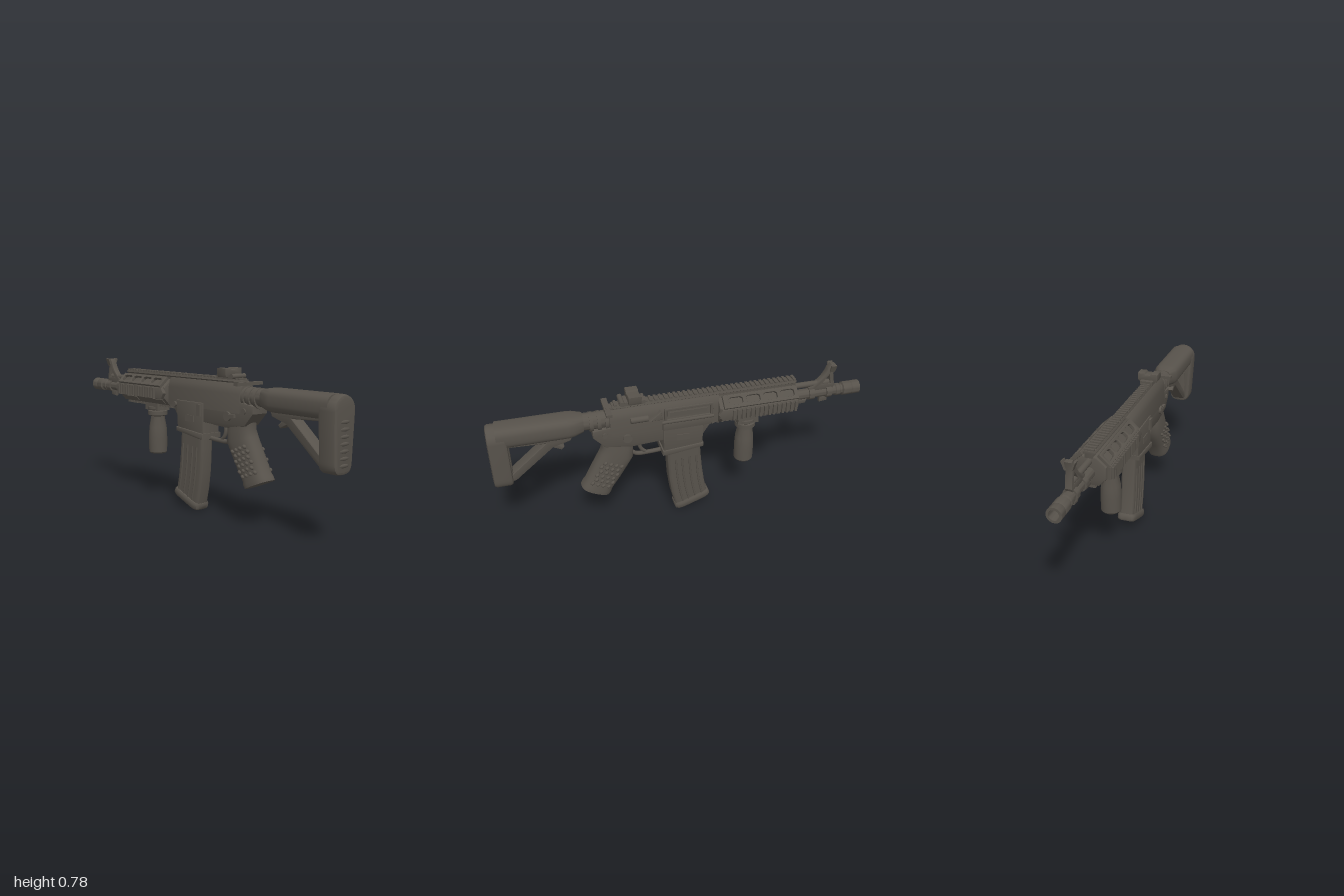
import * as THREE from 'three';
import { toCreasedNormals } from 'three/addons/utils/BufferGeometryUtils.js';

export function createModel() {
  const model = new THREE.Group();
  const gunmetal = new THREE.MeshStandardMaterial({ color: 0x57524b });
  gunmetal.name = 'gunmetal';

  const add = (name, geo, x = 0, y = 0, z = 0) => {
    const mesh = new THREE.Mesh(geo, gunmetal);
    mesh.name = name;
    mesh.position.set(x, y, z);
    model.add(mesh);
    return mesh;
  };
  const box = (name, w, h, d, x, y, z) => add(name, new THREE.BoxGeometry(w, h, d), x, y, z);
  const outline = pts => new THREE.Shape(pts.map(p => new THREE.Vector2(...p)));
  const toShape = pts => Array.isArray(pts) ? outline(pts) : pts;
  const extrude = (shape, depth, b) => toCreasedNormals(new THREE.ExtrudeGeometry(shape, {
    depth: depth - 2 * b, bevelEnabled: b > 0, bevelSize: b, bevelThickness: b,
    bevelOffset: -b, bevelSegments: 2, curveSegments: 10,
  }).translate(0, 0, b - depth / 2), 0.6);
  // side profile of (z, y) points, given a width across x
  const slab = (name, pts, width, b = 0.006, x = 0, holes = []) => {
    const s = toShape(pts);
    holes.forEach(h => s.holes.push(outline(h)));
    return add(name, extrude(s, width, b).rotateY(-Math.PI / 2), x);
  };
  // end profile of (x, y) points, run from z0 to z1
  const beam = (name, pts, z0, z1, b = 0.006) =>
    add(name, extrude(toShape(pts), z1 - z0, b), 0, 0, (z0 + z1) / 2);
  // mirrors the +x half of an end profile
  const mirrored = half => [...half, ...half.map(([x, y]) => [-x, y]).reverse()];
  // sections [z, y, half width, half depth, tilt in degrees], rounded boxes joined in order
  const loft = (name, sections, power = 4, n = 32) => {
    const pos = [], idx = [];
    const soft = v => Math.sign(v) * Math.abs(v) ** (2 / power);
    for (const [z, y, hx, hd, deg] of sections) {
      const t = deg * Math.PI / 180;
      for (let j = 0; j < n; j++) {
        const a = j / n * 2 * Math.PI, v = soft(Math.sin(a)) * hd;
        pos.push(soft(Math.cos(a)) * hx, y + v * Math.sin(t), z + v * Math.cos(t));
      }
    }
    const last = (sections.length - 1) * n, c = sections.length * n;
    [sections[0], sections.at(-1)].forEach(([z, y]) => pos.push(0, y, z));
    for (let j = 0; j < n; j++) {
      const k = (j + 1) % n;
      for (let i = 0; i < last; i += n) idx.push(i + j, i + k, i + n + k, i + j, i + n + k, i + n + j);
      idx.push(c, k, j, c + 1, last + j, last + k);
    }
    const g = new THREE.BufferGeometry();
    g.setAttribute('position', new THREE.Float32BufferAttribute(pos, 3));
    g.setIndex(idx);
    return add(name, toCreasedNormals(g.toNonIndexed(), 0.7));
  };
  const lathe = pts => toCreasedNormals(
    new THREE.LatheGeometry(pts.map(p => new THREE.Vector2(...p)), 28).toNonIndexed(), 0.6);
  const tube = (name, pts, r, x = 0) => add(name, new THREE.TubeGeometry(
    new THREE.CatmullRomCurve3(pts.map(([z, y]) => new THREE.Vector3(x, y, z))), 20, r, 8));
  const pin = (name, r, len, x, y, z) =>
    add(name, new THREE.CylinderGeometry(r, r, len, 18).rotateZ(Math.PI / 2), x, y, z);

  // Shoulder stock: body, butt, pad ridges and triangular brace
  loft('stockBody', [[0.52, 0.655, 0.045, 0.046, 90], [0.57, 0.653, 0.066, 0.056, 90],
    [0.60, 0.652, 0.07, 0.058, 90], [0.95, 0.652, 0.07, 0.058, 90]], 3);
  const butt = new THREE.Shape();
  butt.moveTo(0.072, 0.63);
  butt.absarc(0, 0.638, 0.072, 0, Math.PI);
  butt.lineTo(-0.062, 0.42);
  butt.bezierCurveTo(-0.062, 0.37, -0.045, 0.357, 0, 0.357);
  butt.bezierCurveTo(0.045, 0.357, 0.062, 0.37, 0.062, 0.42);
  beam('butt', butt, 0.9, 0.996, 0.014);
  for (let i = 0; i < 7; i++) {
    const ridge = add('padRidge', new THREE.SphereGeometry(1, 16, 8), 0, 0.4 + i * 0.032, 0.988);
    ridge.scale.set(0.042, 0.012, 0.012);
  }
  slab('stockBrace', [[0.93, 0.37], [0.88, 0.385], [0.68, 0.55], [0.59, 0.575], [0.57, 0.62], [0.93, 0.62]],
    0.07, 0.008, 0, [[[0.895, 0.43], [0.895, 0.585], [0.72, 0.578]]]);
  slab('stockLever', [[0.69, 0.575], [0.68, 0.545], [0.64, 0.525], [0.625, 0.54], [0.65, 0.56], [0.60, 0.6]], 0.06);

  // Stock tube and its rings
  add('stockTube', lathe([[0, 0], [0.045, 0], [0.045, 0.18], [0, 0.18]]).rotateX(-Math.PI / 2), 0, 0.655, 0.57);
  [0.41, 0.45, 0.49].forEach(z => add('tubeRing',
    lathe([[0, 0], [0.052, 0], [0.052, 0.018], [0, 0.018]]).rotateX(-Math.PI / 2), 0, 0.65, z));

  // Receiver
  beam('upperReceiver', mirrored([[0.052, 0.57], [0.052, 0.665], [0.044, 0.695], [0.028, 0.715]]), -0.19, 0.39);
  slab('lowerReceiver', [[0.48, 0.615], [0.48, 0.575], [0.42, 0.51], [0.28, 0.49], [0.10, 0.5],
    [-0.1, 0.5], [-0.14, 0.56], [-0.14, 0.6], [0.36, 0.63]], 0.1);
  slab('magazineWell', [[0.115, 0.6], [0.115, 0.42], [-0.095, 0.44], [-0.105, 0.6]], 0.116);
  slab('magazineWellLip', [[0.122, 0.438], [0.122, 0.408], [0.09, 0.408], [-0.1, 0.432], [-0.1, 0.456]], 0.13);
  box('wellPanel', 0.124, 0.035, 0.07, 0, 0.51, 0.01);
  box('chargingHandle', 0.17, 0.016, 0.03, 0, 0.716, 0.395);
  box('chargingHandleStem', 0.05, 0.018, 0.1, 0, 0.716, 0.35);

  // Right side: port, cover, forward assist; left side: catch and selector
  slab('portFrame', [[0.11, 0.615], [0.11, 0.695], [-0.15, 0.695], [-0.15, 0.615]], 0.016, 0.004, 0.054,
    [[[0.095, 0.63], [0.095, 0.68], [-0.135, 0.68], [-0.135, 0.63]]]);
  box('bolt', 0.012, 0.026, 0.2, 0.05, 0.655, -0.02);
  slab('portCover', [[0.12, 0.57], [0.12, 0.618], [-0.14, 0.618], [-0.14, 0.57]], 0.02, 0.005, 0.06);
  tube('coverHinge', [[0.125, 0.62], [-0.15, 0.62]], 0.009, 0.066);
  slab('deflector', [[0.19, 0.64], [0.13, 0.69], [0.12, 0.64]], 0.03, 0.005, 0.055);
  add('forwardAssist', new THREE.CylinderGeometry(0.017, 0.017, 0.09, 14).rotateX(Math.PI / 2), 0.055, 0.655, 0.24);
  box('boltCatch', 0.02, 0.06, 0.03, -0.058, 0.56, 0.09);
  box('selector', 0.014, 0.016, 0.06, -0.058, 0.555, 0.33);
  pin('receiverPin', 0.024, 0.124, 0, 0.55, 0.305);
  pin('rearPin', 0.014, 0.114, 0, 0.585, 0.42);
  pin('frontPin', 0.014, 0.124, 0, 0.575, -0.12);

  // Trigger and guard
  tube('triggerGuard', [[0.275, 0.425], [0.25, 0.41], [0.18, 0.408], [0.11, 0.412]], 0.012);
  tube('trigger', [[0.225, 0.5], [0.235, 0.47], [0.225, 0.435], [0.205, 0.415]], 0.01);

  // Pistol grip with pebbled sides
  loft('pistolGrip', [[0.355, 0.54, 0.046, 0.085, 4], [0.352, 0.48, 0.05, 0.083, 10], [0.36, 0.435, 0.056, 0.09, 16],
    [0.395, 0.375, 0.055, 0.087, 20], [0.425, 0.325, 0.057, 0.084, 23], [0.465, 0.26, 0.057, 0.078, 24],
    [0.475, 0.243, 0.061, 0.082, 24], [0.485, 0.226, 0.06, 0.081, 24]], 2.7);
  for (const s of [-1, 1]) for (let r = 0; r < 6; r++) for (let c = 0; c < 4; c++) {
    const u = -0.045 + c * 0.03 + (r % 2) * 0.01;
    const bump = add('gripPebble', new THREE.SphereGeometry(1, 8, 6),
      s * (0.055 - Math.abs(u) * 0.06), 0.395 - r * 0.024 + u * 0.4, 0.385 + r * 0.0135 + u * 0.92);
    bump.scale.set(0.011, 0.009, 0.013);
    bump.rotation.x = 0.5;
  }

  // Curved magazine with ribs and floor plate
  const curve = [[0, 0.46, 0.04, 0.09, 0], [-0.003, 0.36, 0.04, 0.093, -5], [-0.011, 0.25, 0.04, 0.096, -9],
    [-0.025, 0.15, 0.04, 0.097, -14], [-0.043, 0.07, 0.04, 0.097, -20]];
  loft('magazine', curve, 7);
  for (const x of [-0.039, 0.039]) for (const o of [-0.065, -0.025, 0.015, 0.05])
    tube('magazineRib', curve.slice(1).map(([z, y, , , t]) => {
      const a = t * Math.PI / 180;
      return [z + o * Math.cos(a), y + o * Math.sin(a)];
    }), 0.006, x);
  loft('floorPlate', [[-0.041, 0.078, 0.048, 0.1, -20], [-0.044, 0.07, 0.053, 0.105, -20],
    [-0.051, 0.05, 0.053, 0.106, -20], [-0.054, 0.042, 0.048, 0.1, -20]], 5);

  // Handguard: core, windowed upper panels, ribbed side rails
  beam('handguardCore', mirrored([[0.045, 0.56], [0.082, 0.6], [0.082, 0.66], [0.035, 0.703]]), -0.62, -0.18);
  const slot = (a, b) => [[a, -0.012], [a + 0.012, -0.02], [b - 0.012, -0.02], [b, -0.012],
    [b, 0.012], [b - 0.012, 0.02], [a + 0.012, 0.02], [a, 0.012]];
  for (const s of [-1, 1]) {
    const panel = outline([[-0.61, -0.036], [-0.2, -0.036], [-0.2, 0.036], [-0.61, 0.036]]);
    [-0.59, -0.495, -0.4, -0.305].forEach(a => panel.holes.push(outline(slot(a, a + 0.075))));
    const mesh = add('upperPanel', extrude(panel, 0.018, 0.003).rotateY(-Math.PI / 2), s * 0.067, 0.687, 0);
    mesh.rotation.z = s * 0.83;
    slab('sideRail', [[-0.605, 0.595], [-0.605, 0.66], [-0.19, 0.66], [-0.17, 0.63], [-0.19, 0.595]],
      0.024, 0.005, s * 0.088);
    for (let i = 0; i < 15; i++) box('sideRailRib', 0.016, 0.058, 0.013, s * 0.103, 0.627, -0.593 + i * 0.0245);
    [-0.5, -0.25].forEach(z => {
      box('lowerWindowFrame', 0.006, 0.03, 0.09, s * 0.065, 0.58, z).rotation.z = s * -0.75;
    });
  }

  // Top and bottom accessory rails
  beam('topRail', mirrored([[0.02, 0.69], [0.02, 0.715], [0.03, 0.722], [0.026, 0.732]]), -0.62, 0.37, 0.002);
  for (let i = 0; i < 38; i++) box('topRailTooth', 0.05, 0.01, 0.014, 0, 0.735, -0.61 + i * 0.026);
  box('bottomRail', 0.05, 0.03, 0.46, 0, 0.562, -0.385);
  for (let i = 0; i < 18; i++) box('bottomRailTooth', 0.054, 0.01, 0.014, 0, 0.548, -0.605 + i * 0.026);

  // Rear sight
  box('rearSightBase', 0.07, 0.02, 0.12, 0, 0.742, 0.26);
  beam('rearSight', [[-0.05, 0.742], [0.05, 0.742], [0.056, 0.755], [0.056, 0.787], [0.02, 0.787], [0.015, 0.779],
    [-0.015, 0.779], [-0.02, 0.787], [-0.056, 0.787], [-0.056, 0.755]], 0.225, 0.29, 0.004);
  pin('sightKnob', 0.013, 0.09, 0, 0.748, 0.32);

  // Barrel, muzzle and gas tube
  add('barrel', lathe([[0, 0], [0.028, 0], [0.028, 0.26], [0.033, 0.265], [0.033, 0.285], [0.028, 0.29],
    [0.028, 0.3], [0.037, 0.305], [0.037, 0.35], [0.034, 0.355], [0.037, 0.36], [0.037, 0.4],
    [0.025, 0.4], [0.022, 0.33], [0, 0.33]]).rotateX(-Math.PI / 2), 0, 0.625, -0.6);
  add('gasTube', new THREE.CylinderGeometry(0.016, 0.016, 0.22, 14).rotateX(Math.PI / 2), 0, 0.682, -0.71);

  // Front sight
  const post = new THREE.Shape();
  post.moveTo(-0.70, 0.667);
  post.bezierCurveTo(-0.76, 0.69, -0.79, 0.73, -0.805, 0.775);
  [[-0.82, 0.792], [-0.845, 0.79], [-0.835, 0.74], [-0.85, 0.665], [-0.84, 0.645], [-0.72, 0.645]]
    .forEach(p => post.lineTo(...p));
  slab('frontSight', post, 0.034, 0.003, 0, [[[-0.775, 0.68], [-0.825, 0.68], [-0.815, 0.735]]]);
  for (const s of [-1, 1]) box('frontSightEar', 0.008, 0.045, 0.03, s * 0.022, 0.77, -0.828).rotation.z = s * -0.35;
  [-0.72, -0.82].forEach(z => add('sightBand',
    lathe([[0, 0], [0.036, 0], [0.036, 0.03], [0, 0.03]]).rotateX(-Math.PI / 2), 0, 0.625, z + 0.015));
  slab('barrelLug', [[-0.62, 0.6], [-0.64, 0.572], [-0.69, 0.575], [-0.7, 0.6]], 0.03);
  slab('slingLoop', [[-0.77, 0.61], [-0.775, 0.565], [-0.82, 0.57], [-0.82, 0.61]], 0.025);

  // Vertical foregrip
  box('foregripClamp', 0.085, 0.045, 0.115, 0, 0.54, -0.355);
  add('foregrip', lathe([[0, 0], [0.046, 0], [0.052, 0.008], [0.053, 0.09], [0.05, 0.15], [0.041, 0.2], [0.041, 0.215],
    [0.056, 0.222], [0.056, 0.245], [0.05, 0.25], [0.056, 0.255], [0.056, 0.27], [0, 0.27]]), 0, 0.268, -0.352);

  return model;
}
